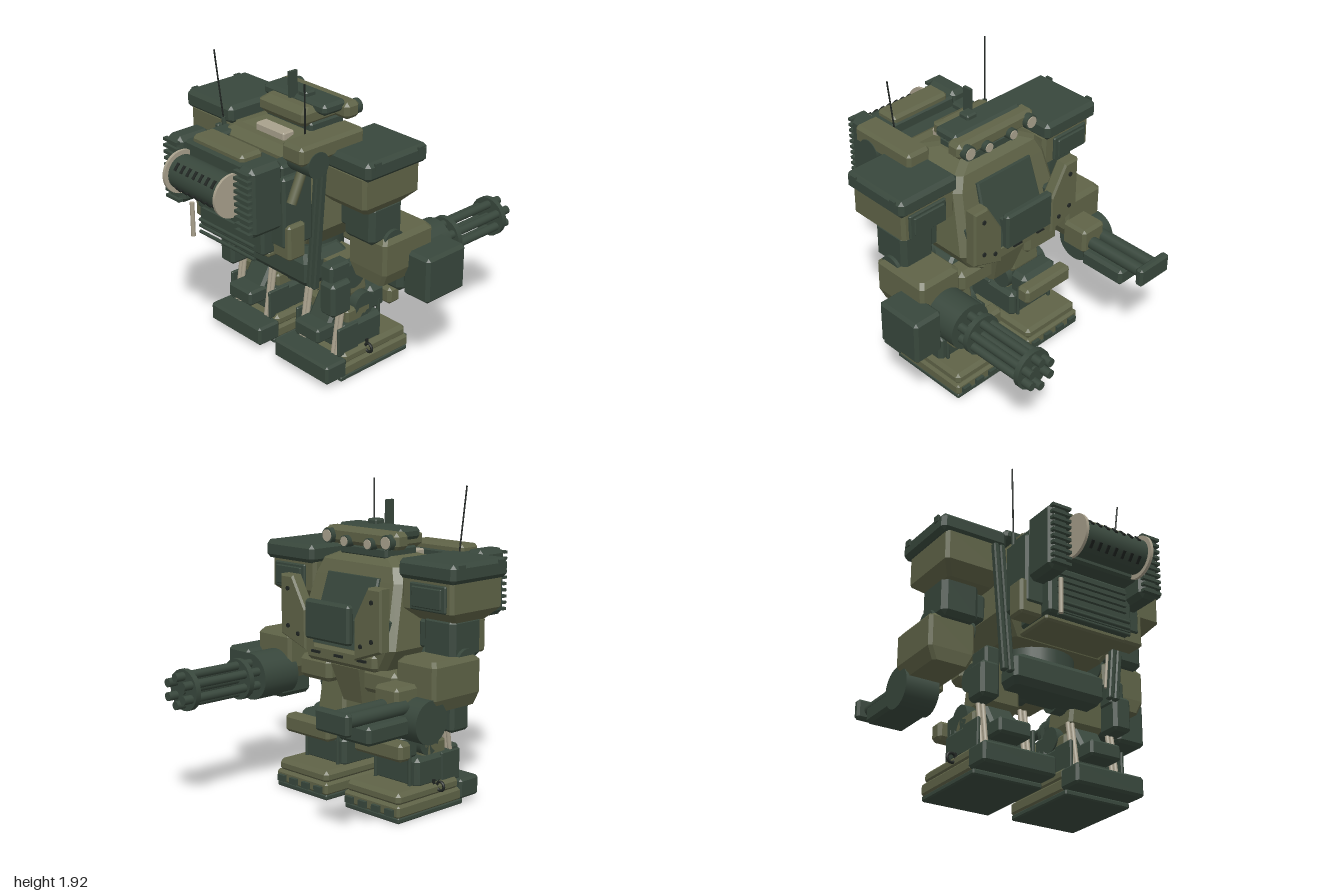
import * as THREE from 'three';
import { ConvexGeometry } from 'three/addons/geometries/ConvexGeometry.js';

const paint = (name, color) => { const m = new THREE.MeshStandardMaterial({ color }); m.name = name; return m; };
const V = (x, y, z) => new THREE.Vector3(x, y, z);

export function createModel() {
  const olive = paint('olive', 0x5f6347), dark = paint('dark green', 0x38473c);
  const pale = paint('pale metal', 0xa8a08c), black = paint('black', 0x202522);
  const model = new THREE.Group();
  const body = new THREE.Group(); // symmetric parts share one centre line
  body.name = 'body';
  body.position.x = -0.0575;
  const arms = new THREE.Group(); // one-sided parts
  arms.name = 'oneSidedParts';
  model.add(body, arms);
  let target = body;

  const add = (name, geo, mat) => {
    const m = new THREE.Mesh(geo, mat);
    m.name = name;
    target.add(m);
    return m;
  };
  // chamfered box given by its ranges
  const box = (name, mat, x0, x1, y0, y1, z0, z1, c = 0.015) => {
    const h = [Math.abs(x1 - x0) / 2, Math.abs(y1 - y0) / 2, Math.abs(z1 - z0) / 2];
    c = Math.min(c, Math.min(...h) * 0.6);
    const pts = [];
    for (const a of [-1, 1]) for (const b of [-1, 1]) for (const d of [-1, 1]) for (let k = 0; k < 3; k++) {
      const q = h.map((v, i) => (i === k ? v : v - c));
      pts.push(V(a * q[0], b * q[1], d * q[2]));
    }
    const m = add(name, new ConvexGeometry(pts), mat);
    m.position.set((x0 + x1) / 2, (y0 + y1) / 2, (z0 + z1) / 2);
    return m;
  };
  // plain box for small details
  const block = (name, mat, x, y, z, w, h, d) => {
    const m = add(name, new THREE.BoxGeometry(w, h, d), mat);
    m.position.set(x, y, z);
    return m;
  };
  // convex solid through levels [y, x0, x1, z0, z1], corners cut by c
  const loft = (name, mat, levels, c = 0.02) => {
    const pts = [];
    for (const [y, x0, x1, z0, z1] of levels) for (const [x, dx] of [[x0, Math.sign(x1 - x0) * c], [x1, -Math.sign(x1 - x0) * c]])
      for (const [z, dz] of [[z0, c], [z1, -c]]) pts.push(V(x + dx, y, z), V(x, y, z + dz));
    return add(name, new ConvexGeometry(pts), mat);
  };
  const cyl = (name, mat, a, b, r, n = 20) => {
    const p = V(...a), q = V(...b), dir = q.clone().sub(p);
    const m = add(name, new THREE.CylinderGeometry(r, r, dir.length(), n), mat);
    m.position.copy(p).add(q).multiplyScalar(0.5);
    m.quaternion.setFromUnitVectors(V(0, 1, 0), dir.normalize());
    return m;
  };

  for (const s of [-1, 1]) {
    // feet
    box('sole', dark, s * 0.08, s * 0.535, 0, 0.035, -0.25, 0.32, 0.008);
    box('footBase', olive, s * 0.075, s * 0.54, 0.03, 0.11, -0.255, 0.3);
    box('footTop', olive, s * 0.085, s * 0.53, 0.1, 0.18, -0.245, 0.29, 0.025);
    box('heel', dark, s * 0.068, s * 0.548, 0.035, 0.16, 0.28, 0.45);
    for (let i = 0; i < 4; i++) block('toeBlock', dark, s * (0.14 + i * 0.112), 0.065, -0.262, 0.06, 0.04, 0.03);
    const ring = add('towRing', new THREE.TorusGeometry(0.028, 0.009, 8, 16), black);
    ring.position.set(s * 0.545, 0.16, 0.1);
    // lower legs
    box('shin', dark, s * 0.12, s * 0.505, 0.16, 0.35, -0.06, 0.27, 0.025);
    for (const x of [0.12, 0.487]) box('shinFlange', dark, s * x, s * (x + 0.022), 0.16, 0.35, 0.15, 0.315);
    box('calfBox', dark, s * 0.205, s * 0.42, 0.245, 0.345, 0.25, 0.405);
    box('ankleGuard', olive, s * 0.15, s * 0.48, 0.33, 0.43, 0.02, 0.22);
    loft('calfTop', dark, [[0.34, s * 0.215, s * 0.405, 0.1, 0.3], [0.47, s * 0.215, s * 0.405, 0.08, 0.22]]);
    for (const x of [0.168, 0.452]) {
      for (const d of [-0.015, 0.015]) cyl('piston', pale, [s * (x + d), 0.16, 0.295], [s * (x + d), 0.48, 0.245], 0.0145, 12);
      cyl('shinRod', dark, [s * x, 0.16, -0.07], [s * x, 0.4, -0.07], 0.012, 10);
    }
    cyl('kneeAxle', dark, [s * 0.14, 0.425, 0.07], [s * 0.48, 0.425, 0.07], 0.08);
    box('kneeBlock', dark, s * 0.16, s * 0.46, 0.335, 0.5, -0.13, 0.01, 0.03);
    box('kneePad', olive, s * 0.11, s * 0.51, 0.355, 0.47, -0.21, -0.11, 0.02);
    block('shinLatch', black, s * 0.51, 0.16, 0.08, 0.01, 0.08, 0.02);
    // thighs and hips
    loft('thigh', olive, [[0.43, s * 0.2, s * 0.4, 0, 0.16], [0.5, s * 0.175, s * 0.42, -0.01, 0.24], [0.74, s * 0.19, s * 0.41, 0.02, 0.26]]);
    cyl('hipAxle', dark, [s * 0.1, 0.65, 0.15], [s * 0.47, 0.65, 0.15], 0.085);
    box('hipGuard', dark, s * 0.4, s * 0.525, 0.455, 0.675, 0.22, 0.38, 0.02);
    box('hipLink', dark, s * 0.39, s * 0.49, 0.62, 0.78, 0.2, 0.36);
    box('skirt', olive, s * 0.14, s * 0.42, 0.72, 0.87, -0.17, -0.02, 0.03);
    // slanted frame bars beside the pack
    for (const x of [0.385, 0.427]) {
      const bar = box('frameBar', dark, -0.018, 0.018, -0.4, 0.4, -0.022, 0.022, 0.008);
      bar.position.set(s * x, 1.02, 0.4);
      bar.rotation.z = -s * 0.09;
    }
    cyl('frameRod', pale, [s * 0.335, 0.7, 0.38], [s * 0.355, 0.92, 0.38], 0.01, 8);
    // shoulders
    box('shoulderCap', dark, s * 0.365, s * 0.805, 1.425, 1.54, -0.1, 0.385, 0.025);
    for (const z of [-0.03, 0.31]) block('capClip', dark, s * 0.805, 1.515, z, 0.015, 0.04, 0.045);
    loft('shoulder', olive, [[1.18, s * 0.42, s * 0.71, 0.02, 0.3], [1.25, s * 0.37, s * 0.77, -0.07, 0.375], [1.43, s * 0.37, s * 0.77, -0.07, 0.375]]);
    box('shoulderHatchFrame', dark, s * 0.45, s * 0.73, 1.25, 1.41, -0.085, -0.06);
    box('shoulderHatch', dark, s * 0.475, s * 0.705, 1.27, 1.39, -0.098, -0.08);
    // upper arms and forearms
    box('upperArm', dark, s * 0.4725, s * 0.7175, 0.96, 1.21, 0, 0.26, 0.03);
    box('upperArmInner', dark, s * 0.41, s * 0.5, 1, 1.17, 0.04, 0.22);
    cyl('elbow', dark, [s * 0.45, 0.95, 0.1], [s * 0.74, 0.95, 0.1], 0.08);
    loft('forearm', olive, [[0.69, s * 0.5, s * 0.73, -0.17, 0.19], [0.77, s * 0.46, s * 0.765, -0.205, 0.2], [0.96, s * 0.46, s * 0.765, -0.205, 0.2], [0.99, s * 0.49, s * 0.74, -0.18, 0.17]]);
    // chest wings
    const wing = new THREE.Shape([[0.42, 1.37], [0.33, 1.37], [0.22, 1.18], [0.22, 0.95], [0.42, 1.02]].map(([x, y]) => new THREE.Vector2(s * x, y)));
    const wingMesh = add('chestWing', new THREE.ExtrudeGeometry(wing, { depth: 0.06, bevelSize: 0.012, bevelThickness: 0.012, bevelSegments: 1 }), olive);
    wingMesh.position.z = -0.288;
    for (const [x, y] of [[0.36, 1.3], [0.36, 1.07], [0.27, 1.03]]) cyl('wingBolt', black, [s * x, y, -0.295], [s * x, y, -0.308], 0.014, 10);
    box('wingBracket', dark, s * 0.28, s * 0.37, 1.08, 1.18, -0.25, -0.12);
    // flanks and pack sides
    box('flank', olive, s * 0.28, s * 0.43, 0.89, 1.11, 0.5, 0.63);
    box('packSide', dark, s * 0.25, s * 0.4, 0.96, 1.4, 0.42, 0.64);
    box('packTopSide', dark, s * 0.24, s * 0.36, 1.36, 1.46, 0.42, 0.62);
    box('ribColumn', dark, s * 0.25, s * 0.385, 1.09, 1.51, 0.62, 0.86, 0.03);
    for (let i = 0; i < 10; i++) block('rib', dark, s * 0.317, 1.12 + i * 0.04, 0.865, 0.125, 0.018, 0.03);
    cyl('drumCap', pale, [s * 0.218, 1.32, 0.868], [s * 0.236, 1.32, 0.868], 0.132, 32);
    // antennas
    cyl('antenna', black, [s * 0.36, 1.45, 0.44], [s * 0.393, 1.92, 0.472], 0.005, 8);
    cyl('antennaBase', dark, [s * 0.355, 1.38, 0.435], [s * 0.363, 1.5, 0.443], 0.014, 10);
    // head lamps
    for (const [x, y, r] of [[0.1, 1.59, 0.036], [0.25, 1.612, 0.046]]) {
      cyl('lampHousing', dark, [s * x, y, 0], [s * x, y, -0.075], r);
      cyl('lampLens', pale, [s * x, y, -0.07], [s * x, y, -0.081], r * 0.8);
    }
  }

  // pelvis and waist
  loft('pelvis', dark, [[0.58, -0.29, 0.29, 0.16, 0.37], [0.62, -0.315, 0.315, 0.08, 0.4], [0.74, -0.315, 0.315, 0.06, 0.4], [0.78, -0.26, 0.26, 0.08, 0.36]]);
  cyl('waist', dark, [0, 0.7, 0.12], [0, 0.92, 0.12], 0.24, 28);
  loft('crotchPlate', olive, [[0.62, -0.1, 0.1, -0.1, 0.1], [0.85, -0.14, 0.14, -0.17, 0.1]]);
  box('beltPlate', olive, -0.3, 0.3, 0.86, 0.97, -0.215, 0.1, 0.025);
  for (const x of [-0.2, 0, 0.2]) block('beltHandle', black, x, 0.92, -0.218, 0.07, 0.015, 0.02);

  // torso
  loft('torso', olive, [[0.87, -0.33, 0.33, -0.18, 0.38], [1, -0.42, 0.42, -0.2, 0.42], [1.38, -0.37, 0.37, -0.09, 0.44], [1.47, -0.33, 0.33, -0.06, 0.41], [1.52, -0.22, 0.22, 0, 0.26]], 0.04);
  loft('chestPanel', dark, [[0.98, -0.24, 0.24, -0.235, 0], [1.4, -0.22, 0.22, -0.105, 0]], 0.01);
  box('chestBox', dark, -0.19, 0.19, 1.02, 1.26, -0.325, -0.27);
  block('chestBoxMount', dark, 0, 1.1, -0.23, 0.24, 0.1, 0.1);
  loft('rearDeck', olive, [[1.2, -0.33, 0.33, 0.36, 0.5], [1.44, -0.33, 0.33, 0.36, 0.5], [1.48, -0.29, 0.29, 0.36, 0.44]]);
  box('deckBox', pale, -0.125, 0.125, 1.46, 1.525, 0.31, 0.395, 0.008);

  // head
  box('neck', dark, -0.2, 0.2, 1.5, 1.57, -0.02, 0.25);
  loft('headShell', olive, [[1.545, -0.17, 0.17, 0, 0.28], [1.58, -0.2, 0.2, -0.02, 0.31], [1.63, -0.2, 0.2, -0.02, 0.31], [1.66, -0.17, 0.17, 0, 0.26]]);
  box('lampBar', olive, -0.31, 0.31, 1.565, 1.67, -0.045, 0.07, 0.025);
  box('headTop', dark, -0.27, 0.27, 1.615, 1.685, 0.03, 0.21, 0.02);
  block('periscope', dark, 0, 1.75, 0.21, 0.02, 0.16, 0.06);
  box('sight', dark, 0.015, 0.095, 1.67, 1.715, 0.11, 0.19, 0.01);

  // backpack
  box('packCore', dark, -0.29, 0.29, 0.9, 1.42, 0.4, 0.66, 0.02);
  box('packFloor', olive, -0.28, 0.28, 0.87, 0.91, 0.38, 0.66);
  box('packShell', dark, -0.27, 0.27, 1.2, 1.49, 0.62, 0.81);
  box('packTop', olive, -0.225, 0.225, 1.44, 1.53, 0.63, 0.79, 0.02);
  box('ventPanel', dark, -0.29, 0.29, 0.9, 1.2, 0.6, 0.71);
  for (let i = 0; i < 4; i++) block('ventSlat', dark, 0, 1.03 + i * 0.04, 0.715, 0.48, 0.016, 0.03);
  for (const y of [0.88, 0.92, 0.96]) cyl('coolingBar', dark, [-0.25, y, 0.735], [0.25, y, 0.735], 0.011, 10);
  cyl('drum', dark, [-0.22, 1.32, 0.868], [0.22, 1.32, 0.868], 0.105, 32);
  for (const a of [-0.72, 0.72]) for (let i = 0; i < 7; i++) {
    const slot = block('drumSlot', black, -0.165 + i * 0.055, 1.32 + Math.sin(a) * 0.105, 0.868 + Math.cos(a) * 0.105, 0.018, 0.05, 0.012);
    slot.rotation.x = -a;
  }
  cyl('drainPipe', pale, [-0.262, 0.86, 0.78], [-0.262, 1.08, 0.78], 0.014, 12);

  // roof box and its pivot
  target = arms;
  box('roofBox', olive, 0.305, 0.475, 1.505, 1.62, 0.14, 0.625, 0.02);
  cyl('roofPivot', dark, [0.3, 1.49, 0.5], [0.48, 1.49, 0.5], 0.078);
  cyl('roofStrut', olive, [0.36, 1.46, 0.5], [0.36, 1.25, 0.6], 0.03, 8);

  // rotary gun arm
  const gx = 0.53, gy = 0.73;
  cyl('gunHousing', dark, [gx, gy, -0.42], [gx, gy, -0.15], 0.148, 24);
  box('gunReceiver', dark, 0.44, 0.66, 0.575, 0.75, -0.25, 0.02, 0.03);
  for (let i = 0; i < 6; i++) {
    const a = (i + 0.5) * Math.PI / 3, x = gx + Math.cos(a) * 0.085, y = gy + Math.sin(a) * 0.085;
    cyl('barrel', dark, [x, y, -1], [x, y, -0.4], 0.027, 14);
  }
  cyl('gunCore', dark, [gx, gy, -0.95], [gx, gy, -0.4], 0.027, 14);
  for (const z of [-0.51, -0.92]) cyl('barrelRing', dark, [gx, gy, z - 0.017], [gx, gy, z + 0.017], 0.128, 24);
  box('ammoBox', dark, 0.66, 0.865, 0.57, 0.865, -0.325, 0, 0.02);

  // twin tube arm
  box('tubeMount', olive, -0.69, -0.5, 0.68, 0.85, -0.37, -0.18, 0.02);
  for (const x of [-0.685, -0.58]) cyl('tube', dark, [x, 0.735, -0.8], [x, 0.735, -0.3], 0.041);
  box('tubeEndPlate', dark, -0.77, -0.51, 0.67, 0.8, -0.835, -0.78);
  box('tubeCradle', dark, -0.77, -0.51, 0.587, 0.7, -0.67, -0.34, 0.02);
  cyl('magazineDrum', dark, [-0.81, 0.65, -0.21], [-0.59, 0.65, -0.21], 0.13, 28);
  return model;
}
